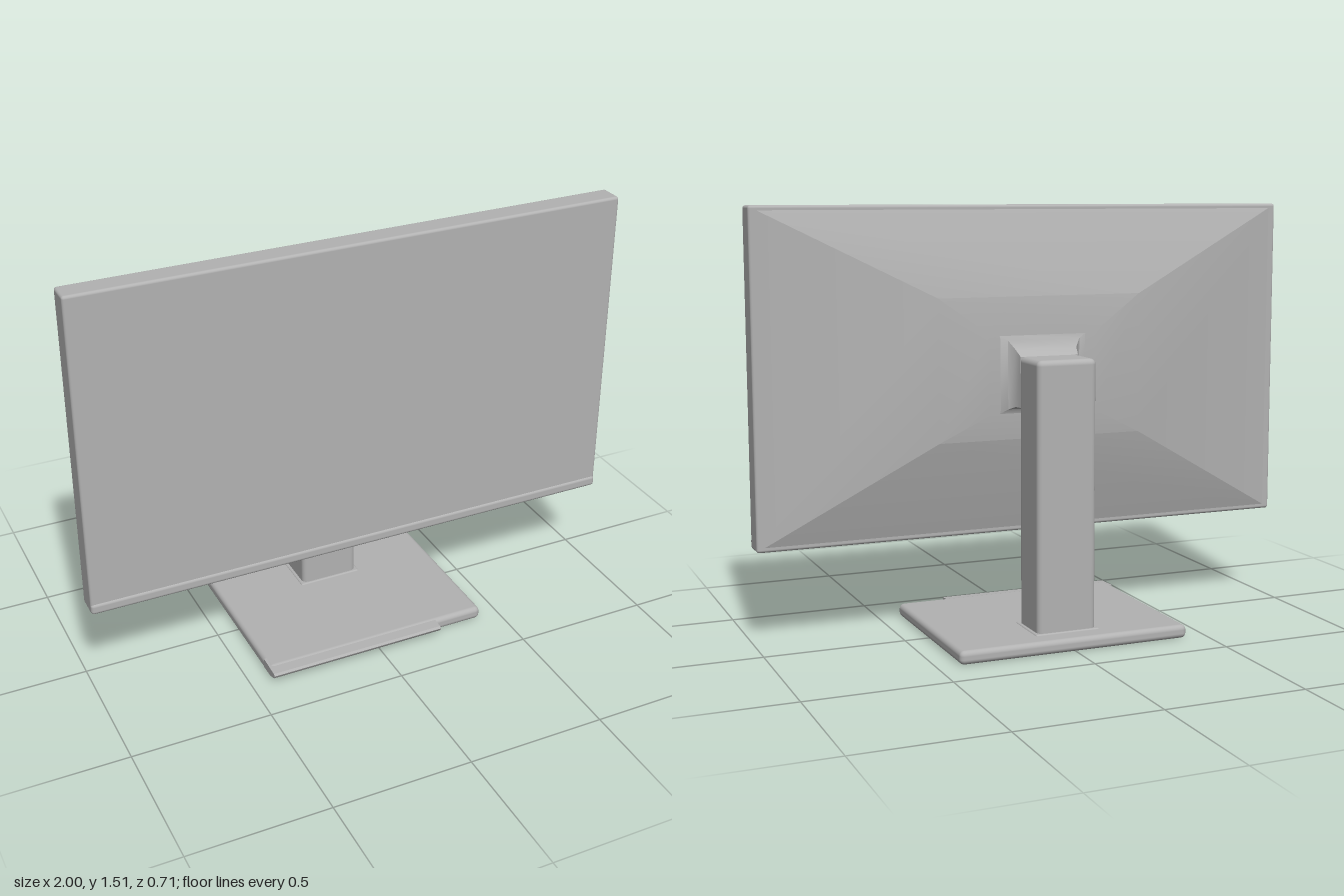
import * as THREE from 'three';
import { toCreasedNormals } from 'three/addons/utils/BufferGeometryUtils.js';
import { RoundedBoxGeometry } from 'three/addons/geometries/RoundedBoxGeometry.js';

// Skin over rectangular rings [halfWidth, yBottom, yTop, z], ordered front to back
function loftRings(rings, crease) {
  const corners = rings.map(([w, y0, y1, z]) => [[-w, y0, z], [w, y0, z], [w, y1, z], [-w, y1, z]]);
  const pos = [];
  for (let r = 0; r < corners.length - 1; r++) {
    const a = corners[r], b = corners[r + 1];
    for (let i = 0; i < 4; i++) {
      const j = (i + 1) % 4;
      pos.push(...a[i], ...b[i], ...b[j], ...a[i], ...b[j], ...a[j]);
    }
  }
  const geo = new THREE.BufferGeometry();
  geo.setAttribute('position', new THREE.Float32BufferAttribute(pos, 3));
  return toCreasedNormals(geo, crease);
}

export function createModel() {
  const model = new THREE.Group();
  const grey = new THREE.MeshStandardMaterial({ color: 0xb2b2b2 });
  grey.name = 'grey plastic';

  const add = (name, geo) => {
    const mesh = new THREE.Mesh(geo, grey);
    mesh.name = name;
    model.add(mesh);
    return mesh;
  };
  // Rounded box given by its minimum and maximum corners
  const box = (name, [x0, y0, z0], [x1, y1, z1], radius) =>
    add(name, new RoundedBoxGeometry(x1 - x0, y1 - y0, z1 - z0, 3, radius))
      .position.set((x0 + x1) / 2, (y0 + y1) / 2, (z0 + z1) / 2);

  // Screen slab and the slightly raised strip under it
  box('screenPanel', [-1, 0.347, 0.062], [1, 1.515, 0.153], 0.01);
  box('bottomBezel', [-1, 0.347, 0.1], [1, 0.388, 0.158], 0.012);

  // Tapered back housing
  add('backHousing', loftRings([
    [0.995, 0.352, 1.51, 0.066],
    [0.38, 0.7, 1.2, -0.042],
    [0.2, 0.79, 1.07, -0.057],
    [0.1, 0.83, 1.03, -0.06],
  ], 0.3));

  // Flared neck joining housing and column
  add('neck', loftRings([
    [0.17, 0.79, 1.07, -0.055],
    [0.135, 0.81, 1.05, -0.066],
    [0.115, 0.82, 1.02, -0.085],
    [0.108, 0.82, 0.997, -0.115],
  ], 0.7));

  // Stand column
  box('standColumn', [-0.109, 0.03, -0.273], [0.109, 0.998, -0.103], 0.02);

  // Thin collar where the column meets the base
  box('columnCollar', [-0.12, 0.04, -0.282], [0.12, 0.056, -0.094], 0.006);

  // Base plate
  box('basePlate', [-0.425, 0.004, -0.355], [0.422, 0.052, 0.318], 0.018);

  // Front lip, stopping short of the left corner
  const lip = new THREE.Shape([
    [0.26, 0.015], [0.31, 0.016], [0.335, 0.022], [0.352, 0.03],
    [0.356, 0.04], [0.35, 0.047], [0.3, 0.049], [0.26, 0.051],
  ].map(([z, y]) => new THREE.Vector2(z, y)));
  const lipGeo = new THREE.ExtrudeGeometry(lip, { depth: 0.66, bevelEnabled: false });
  lipGeo.rotateY(-Math.PI / 2).translate(0.235, 0, 0);
  add('frontLip', toCreasedNormals(lipGeo, 0.8));

  return model;
}
